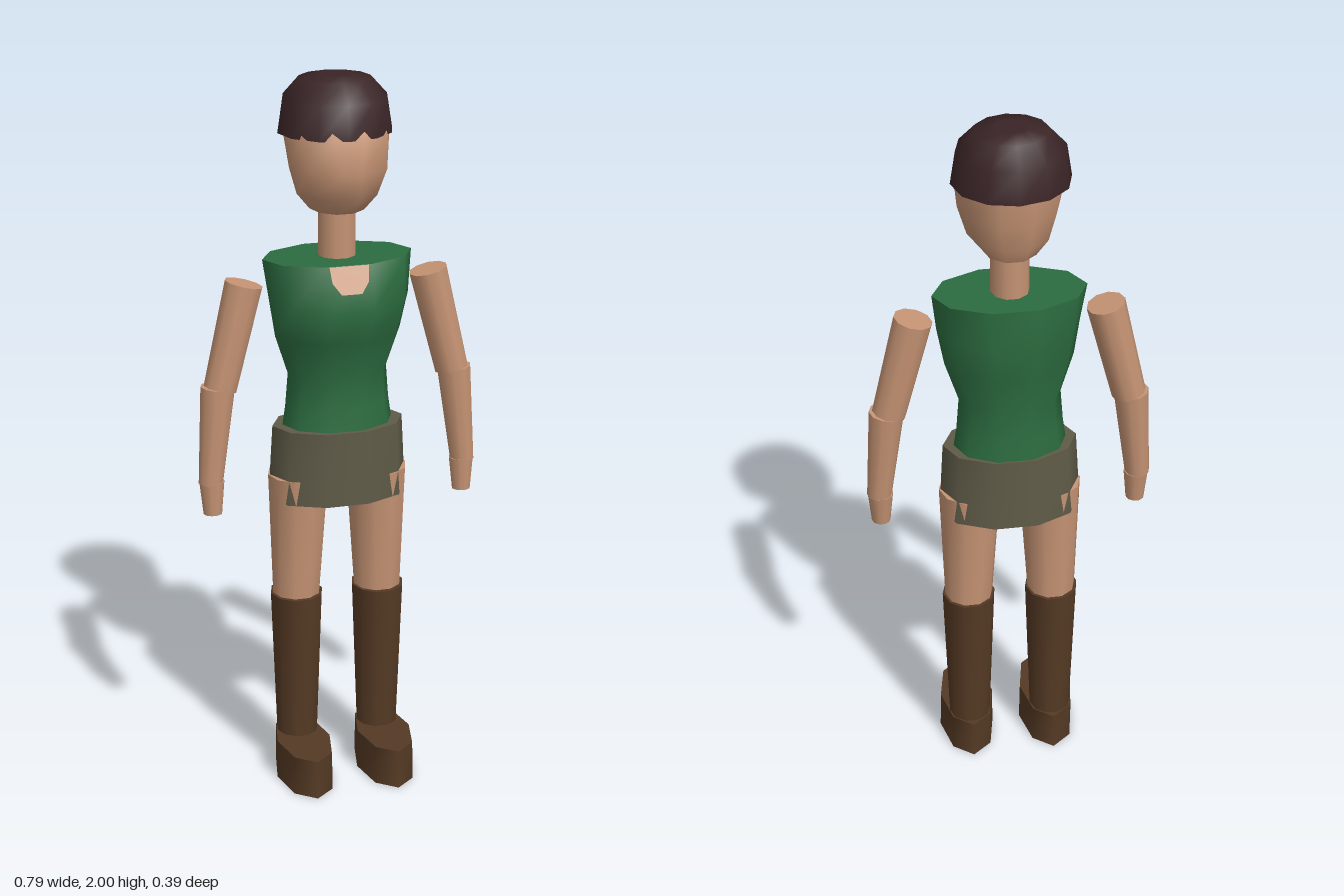
import * as THREE from 'three';

const mat = (name, color) => {
  const m = new THREE.MeshStandardMaterial({ color });
  m.name = name;
  return m;
};

// Smooth-sided solid through horizontal rings, listed from bottom to top.
// Ring: [y, centre x, half width, front z, back z, pinch of the front points]
function loft(rings, n = 10) {
  const pos = [], idx = [];
  let peak = 0;
  for (let i = 0; i < n; i++) peak = Math.max(peak, Math.sin((i / n) * Math.PI * 2));
  const addRing = ([y, cx, rx, zf, zb, pinch = 1]) => {
    const start = pos.length / 3;
    for (let i = 0; i < n; i++) {
      const a = (i / n) * Math.PI * 2, s = Math.sin(a);
      const k = s > 0.9 ? pinch : 1;
      pos.push(cx + Math.cos(a) * rx * k, y, (zf + zb) / 2 + (s / peak) * (zf - zb) / 2);
    }
    return start;
  };
  const starts = rings.map(addRing);
  for (let r = 0; r < rings.length - 1; r++) {
    for (let i = 0; i < n; i++) {
      const j = (i + 1) % n, a = starts[r], b = starts[r + 1];
      idx.push(a + i, b + i, a + j, a + j, b + i, b + j);
    }
  }
  // Separate cap points keep the rim edges sharp
  [rings[0], rings[rings.length - 1]].forEach((ring, top) => {
    const s = addRing(ring), c = pos.length / 3;
    pos.push(ring[1], ring[0], (ring[3] + ring[4]) / 2);
    for (let i = 0; i < n; i++) {
      const j = (i + 1) % n;
      if (top) idx.push(c, s + j, s + i);
      else idx.push(c, s + i, s + j);
    }
  });
  const g = new THREE.BufferGeometry();
  g.setAttribute('position', new THREE.Float32BufferAttribute(pos, 3));
  g.setIndex(idx);
  g.computeVertexNormals();
  return g;
}

// Tapered limb between two points
function limb(top, bottom, rTop, rBottom) {
  const a = new THREE.Vector3(...top), b = new THREE.Vector3(...bottom);
  const axis = a.clone().sub(b);
  const g = new THREE.CylinderGeometry(rTop, rBottom, axis.length(), 10, 1, false, Math.PI / 2);
  g.applyQuaternion(new THREE.Quaternion().setFromUnitVectors(new THREE.Vector3(0, 1, 0), axis.normalize()));
  const m = a.add(b).multiplyScalar(0.5);
  return g.translate(m.x, m.y, m.z);
}

export function createModel() {
  const model = new THREE.Group();
  model.name = 'figure';
  const skin = mat('skin', 0xc69474);
  const green = mat('green shirt', 0x2c6c40);
  const khaki = mat('khaki shorts', 0x5f5b48);
  const leather = mat('brown leather', 0x553a24);
  const hairMat = mat('dark hair', 0x3a2426);
  const add = (name, geo, material, parent = model) => {
    const mesh = new THREE.Mesh(geo, material);
    mesh.name = name;
    parent.add(mesh);
  };

  // Head with a pointed face, and a cap of hair
  add('head', loft([
    [1.645, 0, 0.075, 0.05, -0.115],
    [1.69, 0, 0.112, 0.085, -0.135],
    [1.765, 0, 0.135, 0.122, -0.15, 0.6],
    [1.85, 0, 0.145, 0.092, -0.157],
    [1.89, 0, 0.135, 0.075, -0.155],
  ]), skin);
  add('hair', loft([
    [1.85, 0, 0.157, 0.096, -0.195],
    [1.94, 0, 0.143, 0.086, -0.186],
    [1.99, 0, 0.098, 0.04, -0.145],
    [2.0, 0, 0.045, -0.01, -0.095],
  ], 12), hairMat);
  add('neck', limb([0, 1.67, -0.03], [0, 1.48, -0.03], 0.052, 0.052), skin);

  // Torso, with the skin showing at the neckline
  add('shirt', loft([
    [1.03, 0, 0.156, 0.075, -0.135],
    [1.1, 0, 0.146, 0.068, -0.13],
    [1.19, 0, 0.139, 0.064, -0.123],
    [1.3, 0, 0.175, 0.094, -0.138],
    [1.4, 0, 0.193, 0.137, -0.154],
    [1.515, 0, 0.207, 0.088, -0.145],
  ]), green);
  const neckline = new THREE.ShapeGeometry(new THREE.Shape([
    [-0.054, 1.515], [-0.05, 1.475], [-0.028, 1.445], [0.028, 1.445], [0.05, 1.475], [0.054, 1.515],
  ].map(([x, y]) => new THREE.Vector2(x, y))));
  const p = neckline.attributes.position;
  for (let i = 0; i < p.count; i++) p.setZ(i, 0.092 + (1.515 - p.getY(i)) * 0.426);
  neckline.computeVertexNormals();
  const skinPlate = skin;
  add('neckline', neckline, skinPlate);

  add('shorts', loft([
    [0.83, 0, 0.195, 0.085, -0.145],
    [0.94, 0, 0.19, 0.086, -0.143],
    [1.042, 0, 0.184, 0.086, -0.139],
  ]), khaki);

  for (const s of [1, -1]) {
    const side = s > 0 ? 'left' : 'right';

    // Arm
    const arm = new THREE.Group();
    arm.name = side + 'Arm';
    model.add(arm);
    add('upperArm', limb([s * 0.257, 1.452, -0.033], [s * 0.327, 1.165, -0.028], 0.053, 0.047), skin, arm);
    add('forearm', limb([s * 0.334, 1.168, -0.028], [s * 0.36, 0.895, -0.02], 0.048, 0.034), skin, arm);
    add('hand', limb([s * 0.357, 0.9, -0.02], [s * 0.357, 0.808, -0.015], 0.035, 0.026), skin, arm);

    // Leg; the top of the thigh shows through the side of the shorts
    const leg = new THREE.Group();
    leg.name = side + 'Leg';
    model.add(leg);
    add('thigh', loft([
      [0.52, s * 0.118, 0.066, 0.03, -0.098],
      [0.9, s * 0.111, 0.086, 0.055, -0.112],
    ]), skin, leg);
    add('bootShaft', loft([
      [0.09, s * 0.118, 0.058, 0.025, -0.09],
      [0.542, s * 0.118, 0.074, 0.045, -0.108],
    ]), leather, leg);
    add('foot', loft([
      [0, s * 0.118, 0.078, 0.196, -0.113],
      [0.112, s * 0.118, 0.076, 0.192, -0.112],
    ], 8), leather, leg);
  }
  return model;
}
